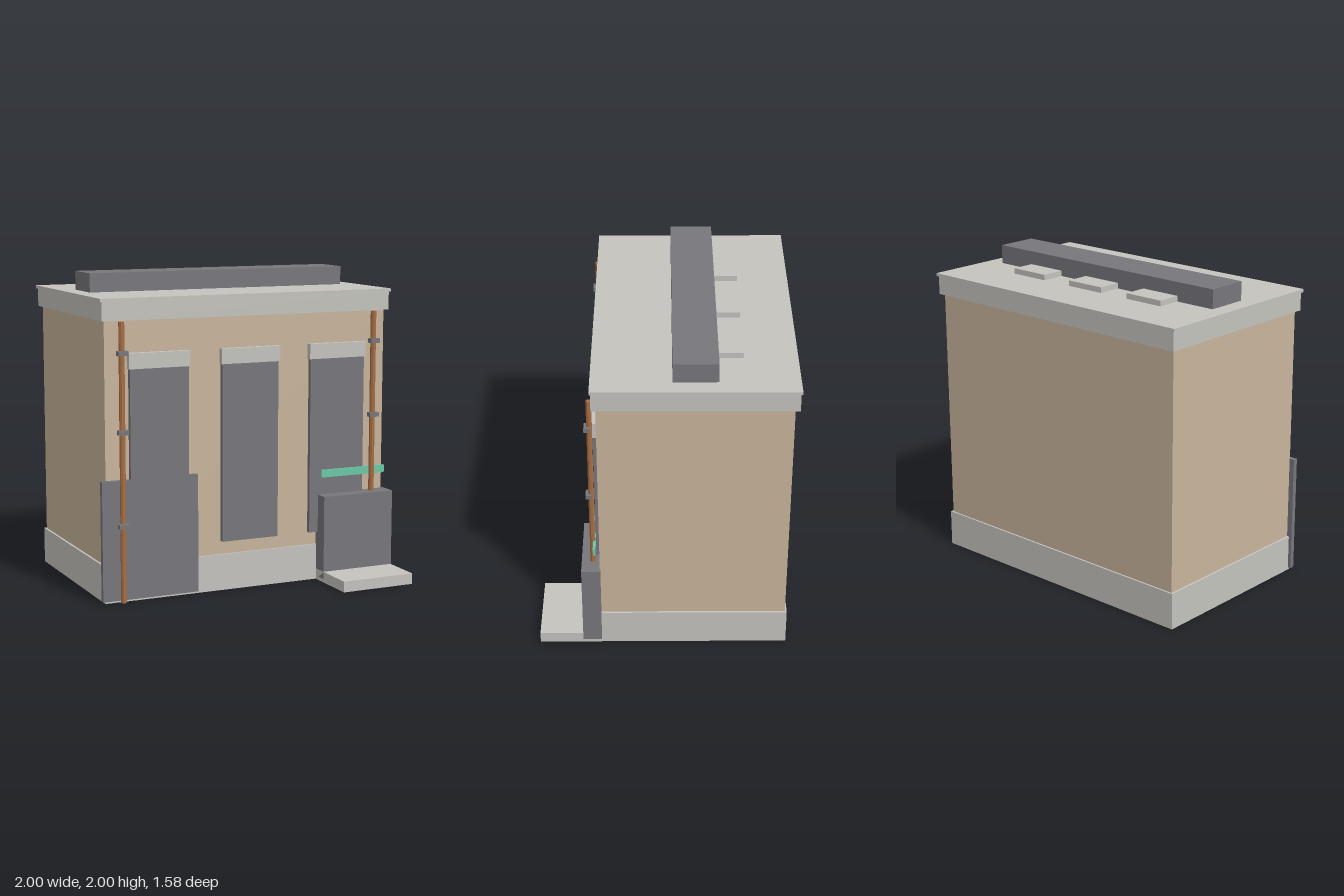
import * as THREE from 'three';

const material = (name, color) => {
  const m = new THREE.MeshStandardMaterial({ color });
  m.name = name;
  return m;
};

export function createModel() {
  const model = new THREE.Group();
  model.name = 'townBuilding';

  const plaster = material('tanPlaster', 0xc8b49b);
  const stone = material('paleStone', 0xc4c3be);
  const slate = material('darkSlate', 0x77767b);
  const copper = material('copper', 0xa66e44);
  const green = material('mintGreen', 0x6cc9a8);

  // Box given by its lower and upper corner
  const box = (name, mat, [x0, x1], [y0, y1], [z0, z1], parent = model) => {
    const mesh = new THREE.Mesh(new THREE.BoxGeometry(x1 - x0, y1 - y0, z1 - z0), mat);
    mesh.position.set((x0 + x1) / 2, (y0 + y1) / 2, (z0 + z1) / 2);
    mesh.name = name;
    parent.add(mesh);
    return mesh;
  };

  // Stacked storeys of the block: [name, material, half width, y range, half depth]
  const midZ = -0.176;
  [
    ['plinth', stone, 0.98, [0, 0.233], 0.59],
    ['walls', plaster, 0.966, [0.233, 1.743], 0.579],
    ['cornice', stone, 0.988, [1.743, 1.86], 0.606],
    ['roofSlab', stone, 1, [1.86, 1.88], 0.614],
  ].forEach(([name, mat, w, y, d]) => box(name, mat, [-w, w], y, [midZ - d, midZ + d]));

  // Roof: long raised box with three low vents behind it
  box('roofRidge', slate, [-0.89, 0.89], [1.88, 2], [-0.313, -0.043]);
  for (const x of [-0.483, -0.002, 0.482]) {
    box('roofVent', stone, [x - 0.135, x + 0.135], [1.88, 1.915], [-0.466, -0.3]);
  }

  // Tall windows with stone lintels
  for (const x of [-0.618, -0.002, 0.615]) {
    const bay = new THREE.Group();
    bay.name = 'windowBay';
    model.add(bay);
    box('window', slate, [x - 0.194, x + 0.194], [0.318, 1.448], [0.4, 0.432], bay);
    box('lintel', stone, [x - 0.202, x + 0.202], [1.448, 1.545], [0.4, 0.44], bay);
  }

  // Wide shutter on one side; entrance, step and sign bar on the other
  box('shutter', slate, [-1, -0.363], [0.015, 0.767], [0.4, 0.432]);
  box('entrance', slate, [0.483, 0.986], [0.022, 0.564], [0.4, 0.518]);
  box('doorStep', stone, [0.483, 0.984], [0, 0.07], [0.4, 0.79]);
  box('signBar', green, [0.502, 0.965], [0.675, 0.725], [0.428, 0.443]);

  // Downpipes with brackets
  const pipe = (x, bottom, brackets) => {
    const group = new THREE.Group();
    group.name = 'downpipe';
    model.add(group);
    const geometry = new THREE.CylinderGeometry(0.018, 0.018, 1.74 - bottom, 8).toNonIndexed();
    geometry.rotateY(Math.PI / 8);
    geometry.computeVertexNormals();
    const tube = new THREE.Mesh(geometry, copper);
    tube.name = 'pipe';
    tube.position.set(x, (1.74 + bottom) / 2, 0.447);
    group.add(tube);
    for (const y of brackets) {
      box('pipeBracket', slate, [x - 0.033, x + 0.033], [y - 0.014, y + 0.014], [0.44, 0.48], group);
    }
  };
  pipe(-0.87, 0.004, [0.487, 1.068, 1.55]);
  pipe(0.867, 0.5, [1.068, 1.55]);

  return model;
}
